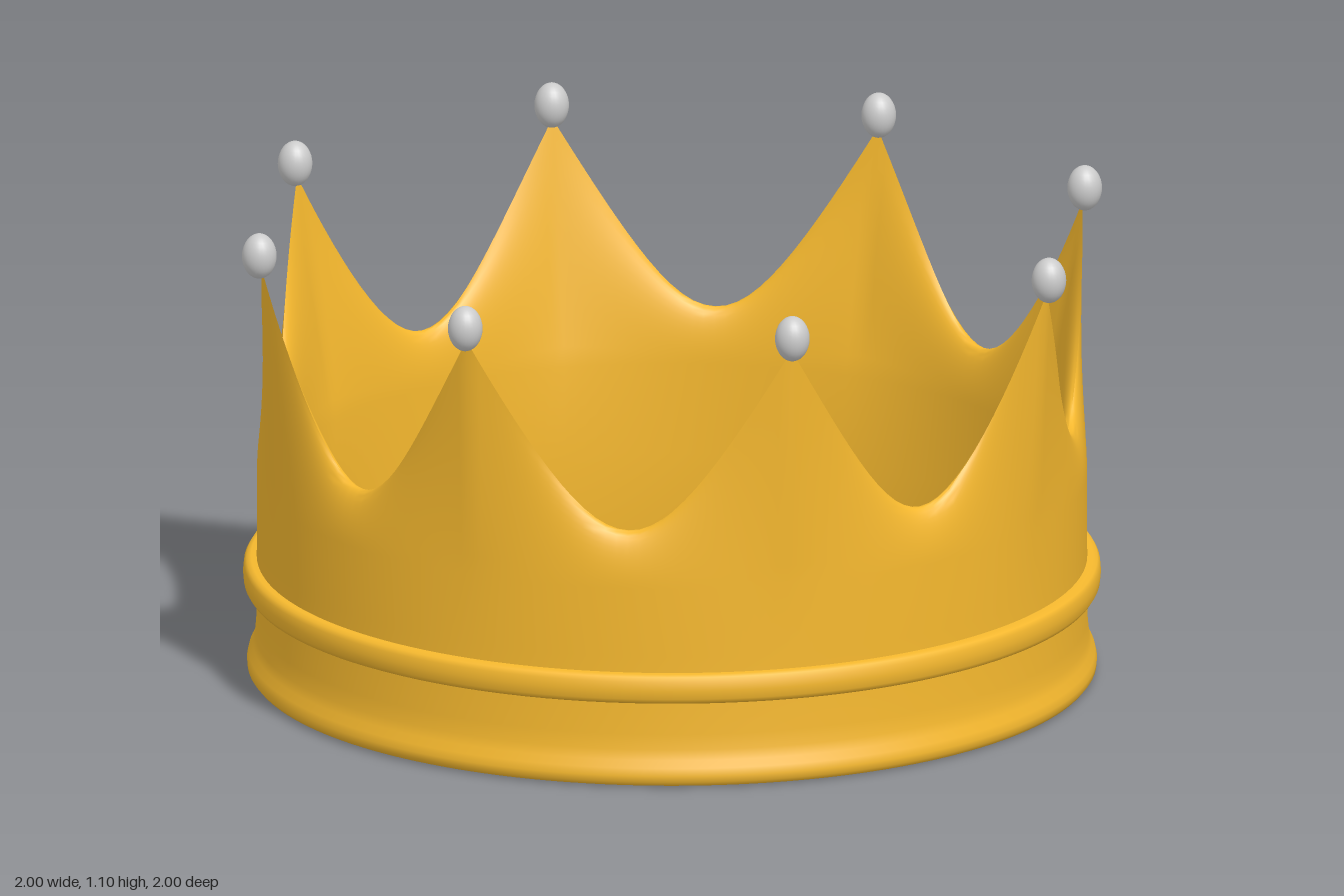
import * as THREE from 'three';
import { toCreasedNormals } from 'three/addons/utils/BufferGeometryUtils.js';

const POINTS = 8;
const START = -0.098; // angle of the first spike, measured from +z towards +x
const STEP = (Math.PI * 2) / POINTS;
const { lerp } = THREE.MathUtils;

// Foot and lower outer wall as [radius, height], inside edge first
const FOOT = [
  [0.861, 0.06], [0.866, 0.025], [0.876, 0.007], [0.895, 0], [0.925, 0], [0.945, 0.004], [0.953, 0.014],
  [0.954, 0.028], [0.95, 0.045], [0.941, 0.062], [0.936, 0.085], [0.933, 0.12], [0.932, 0.3],
];

// Closed cross-section of the wall; t is 0 in a valley and 1 at a spike
function section(t) {
  const c = 0.6;
  const rise = (Math.hypot(t, c) - c) / (Math.hypot(1, c) - c);
  const top = lerp(0.585, 1.015, rise);
  const crest = lerp(0.893, 0.96, rise);
  const base = 0.46;
  const N = 12;
  const side = (r, k) => {
    const u = (k / N) * Math.PI / 2;
    const s = lerp(Math.sin(u), k / N, rise);
    const f = lerp(1 - Math.cos(u), k / N, rise); // round in valleys, wedge at spikes
    return [lerp(r, crest, f), lerp(base, top, s)];
  };
  const pts = [...FOOT];
  for (let k = 0; k <= N; k++) pts.push(side(0.932, k));
  for (let k = N - 1; k >= 0; k--) pts.push(side(0.86, k));
  pts.push([0.86, 0.25]);
  return pts;
}

// Sweep the changing cross-section around the crown
function wallGeometry() {
  const perSpike = 28;
  const count = POINTS * perSpike;
  const positions = [];
  const index = [];
  let n = 0;
  for (let i = 0; i < count; i++) {
    const a = START + (i / perSpike) * STEP;
    const t = Math.abs(1 - 2 * ((i % perSpike) / perSpike));
    const pts = section(t);
    n = pts.length;
    for (const [r, y] of pts) positions.push(Math.sin(a) * r, y, Math.cos(a) * r);
  }
  for (let i = 0; i < count; i++) {
    const i2 = (i + 1) % count;
    for (let j = 0; j < n; j++) {
      const j2 = (j + 1) % n;
      const p = i * n + j, q = i2 * n + j, r = i2 * n + j2, s = i * n + j2;
      index.push(p, q, r, p, r, s);
    }
  }
  const g = new THREE.BufferGeometry();
  g.setAttribute('position', new THREE.Float32BufferAttribute(positions, 3));
  g.setIndex(index);
  return toCreasedNormals(g, 0.8);
}

export function createModel() {
  const crown = new THREE.Group();
  crown.name = 'crown';
  const gold = new THREE.MeshStandardMaterial({ color: 0xf5b82e });
  const grey = new THREE.MeshStandardMaterial({ color: 0xcccccc });

  // Wall with spikes and flared foot
  const wall = new THREE.Mesh(wallGeometry(), gold);
  wall.name = 'spikedWall';
  crown.add(wall);

  // Raised band around the wall
  const bandProfile = [
    [0.92, 0.196], [0.945, 0.196], [0.955, 0.2], [0.961, 0.21], [0.963, 0.23],
    [0.961, 0.25], [0.955, 0.26], [0.945, 0.264], [0.92, 0.264],
  ].map(([x, y]) => new THREE.Vector2(x, y));
  const band = new THREE.Mesh(new THREE.LatheGeometry(bandProfile, 128), gold);
  band.name = 'raisedBand';
  crown.add(band);

  // Oval pearls on the spike tips
  const pearlGeometry = new THREE.SphereGeometry(1, 24, 16).scale(0.039, 0.052, 0.039);
  for (let i = 0; i < POINTS; i++) {
    const a = START + i * STEP;
    const pearl = new THREE.Mesh(pearlGeometry, grey);
    pearl.name = 'pearl' + (i + 1);
    pearl.position.set(Math.sin(a) * 0.965, 1.045, Math.cos(a) * 0.965);
    pearl.rotation.y = a;
    crown.add(pearl);
  }
  return crown;
}
